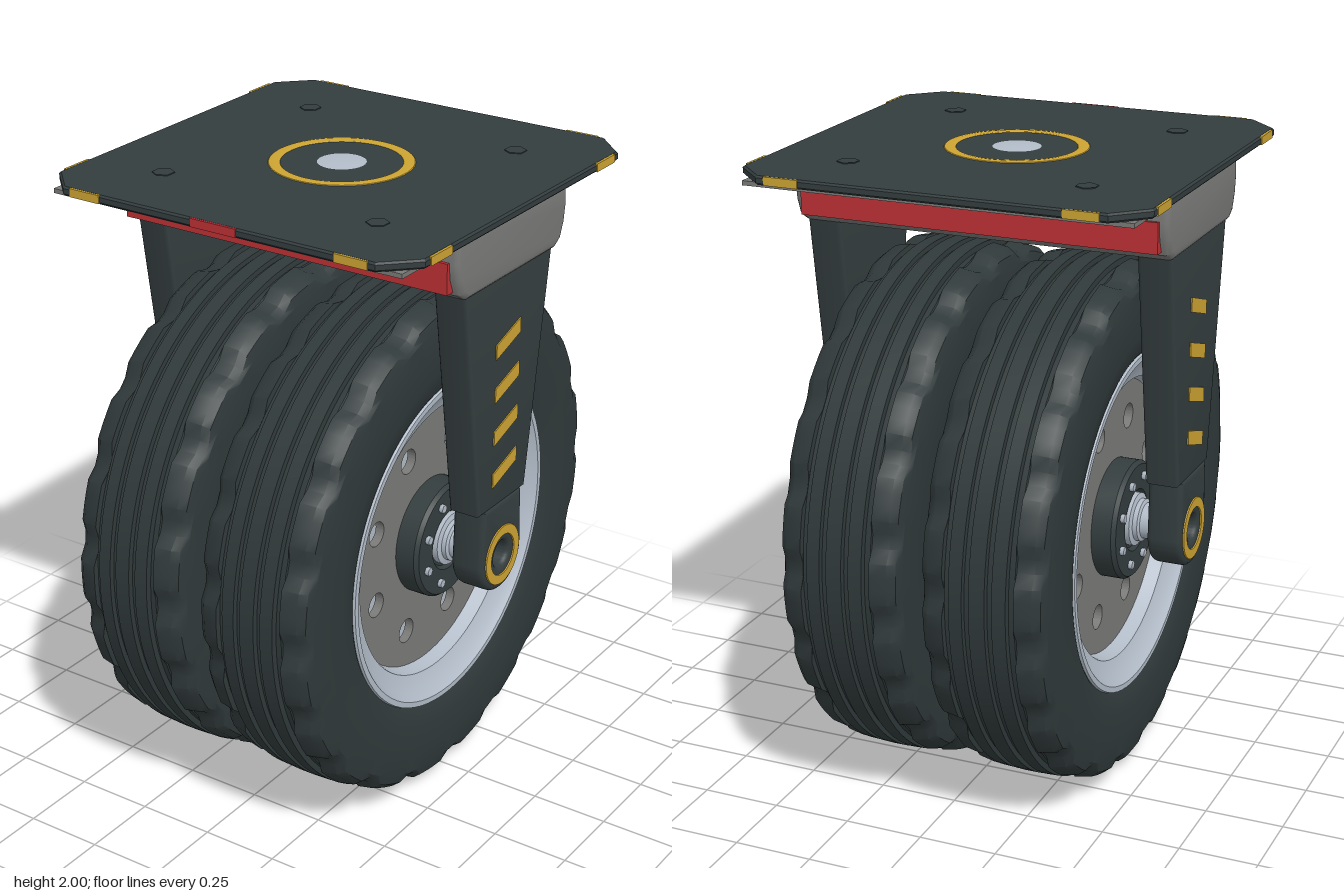
import * as THREE from 'three';
import { toCreasedNormals } from 'three/addons/utils/BufferGeometryUtils.js';

const material = (name, color, side = THREE.FrontSide) => {
  const m = new THREE.MeshStandardMaterial({ color, side });
  m.name = name;
  return m;
};
const rubber = material('rubber', 0x30393a);
const dark = material('dark metal', 0x343d3e);
const grey = material('grey metal', 0x7a7a79);
const silver = material('silver', 0xb2bcc8, THREE.DoubleSide);
const gold = material('gold', 0xcda432);
const red = material('red', 0xbc3034);

function add(parent, name, geometry, mat, x = 0, y = 0, z = 0) {
  const mesh = new THREE.Mesh(geometry, mat);
  mesh.name = name;
  mesh.position.set(x, y, z);
  parent.add(mesh);
  return mesh;
}

// Lathe around y from [radius, height] pairs
function turned(points, segments = 64) {
  const g = new THREE.LatheGeometry(points.map(p => new THREE.Vector2(...p)), segments);
  return toCreasedNormals(g, 0.5);
}
// Same, but around the x axis
const turnedX = (points, segments) => turned(points, segments).rotateZ(-Math.PI / 2);
const ringProfile = (inner, outer, a, b) =>
  [[inner, a], [outer, a], [outer, b], [inner, b], [inner, a]];

const polygon = points => new THREE.Shape(points.map(p => new THREE.Vector2(...p)));
const circleHole = (x, y, r) => new THREE.Path().absarc(x, y, r, 0, Math.PI * 2, true);

// Extrude a (-z, y) outline along x, between x0 and x1, bevel included
function sidePlate(shape, x0, x1, bevel = 0) {
  const g = new THREE.ExtrudeGeometry(shape, {
    depth: x1 - x0 - 2 * bevel, bevelEnabled: bevel > 0, bevelSize: bevel,
    bevelThickness: bevel, bevelOffset: -bevel, bevelSegments: 3, curveSegments: 24
  });
  return toCreasedNormals(g.translate(0, 0, x0 + bevel).rotateY(Math.PI / 2), 0.6);
}

// Tyre with circumferential grooves and notched shoulder blocks
function tyreGeometry() {
  const right = [[0.833, 0.025], [0.817, 0.027], [0.817, 0.045], [0.832, 0.047],
    [0.830, 0.09], [0.812, 0.092], [0.812, 0.11], [0.828, 0.113], [0.818, 0.165], [0.80, 0.187],
    [0.77, 0.195], [0.70, 0.2], [0.62, 0.197], [0.56, 0.188], [0.54, 0.175]];
  const left = right.map(([r, h]) => [r, -h]).reverse();
  const profile = [...left, ...right];
  const g = new THREE.LatheGeometry(profile.map(p => new THREE.Vector2(...p)), 120);
  const pos = g.attributes.position;
  for (let i = 0; i < pos.count; i++) {
    const step = Math.floor(i / profile.length), h = pos.getY(i);
    const r = Math.hypot(pos.getX(i), pos.getZ(i));
    const notch = (step + (h > 0 ? 0 : 3)) % 6 < 2;
    if (notch && Math.abs(h) > 0.112 && r > 0.79) {
      pos.setX(i, pos.getX(i) * 0.976);
      pos.setZ(i, pos.getZ(i) * 0.976);
    }
  }
  return toCreasedNormals(g, 0.5).rotateZ(-Math.PI / 2);
}

function makeWheel() {
  const wheel = new THREE.Group();
  wheel.name = 'wheel';
  add(wheel, 'tyre', tyreGeometry(), rubber);

  // Disc pierced by eight round holes, backed by a silver plate
  const disc = new THREE.Shape().absarc(0, 0, 0.45, 0, Math.PI * 2);
  disc.holes.push(circleHole(0, 0, 0.1));
  const angles = Array.from({ length: 8 }, (_, i) => (i + 0.5) * Math.PI / 4);
  for (const a of angles) disc.holes.push(circleHole(0.322 * Math.cos(a), 0.322 * Math.sin(a), 0.04));
  add(wheel, 'discBacking', turnedX(ringProfile(0.1, 0.44, -0.05, 0.05)), silver);

  for (const s of [1, -1]) {
    const face = new THREE.Group();
    face.name = 'wheelFace';
    face.rotation.y = s > 0 ? 0 : Math.PI;
    wheel.add(face);
    add(face, 'disc', sidePlate(disc, 0.07, 0.1), grey);
    add(face, 'rim', turnedX([[0.555, 0.17], [0.548, 0.19], [0.53, 0.19], [0.505, 0.165],
      [0.455, 0.145], [0.44, 0.095]], 80), silver);
    add(face, 'hub', turnedX([[0.19, 0.09], [0.19, 0.165], [0.18, 0.178], [0.1, 0.178],
      [0.09, 0.165], [0.055, 0.165]]), dark);
    for (const a of angles) {
      const bolt = new THREE.CylinderGeometry(0.014, 0.014, 0.014, 6).rotateZ(Math.PI / 2);
      add(face, 'hubBolt', bolt, silver, 0.184, 0.142 * Math.sin(a), 0.142 * Math.cos(a));
    }
  }
  return wheel;
}

// Fork leg on the +x side; slant sets which way its stripes rise
function makeLeg(slant) {
  const leg = new THREE.Group();
  leg.name = 'forkLeg';
  const blade = polygon([[-0.135, 1.02], [0.135, 1.02], [0.25, 1.785], [-0.25, 1.785]]);
  add(leg, 'legBlade', sidePlate(blade, 0.485, 0.593, 0.012), dark);

  const eye = new THREE.Shape();
  eye.moveTo(0.112, 1.03);
  eye.lineTo(-0.112, 1.03);
  eye.lineTo(-0.12, 0.84);
  eye.absarc(0, 0.84, 0.12, Math.PI, Math.PI * 2, false);
  eye.holes.push(circleHole(0, 0.84, 0.04));
  add(leg, 'axleEye', sidePlate(eye, 0.485, 0.597, 0.018), dark);
  add(leg, 'eyeRing', turnedX([[0.1, 0.594], [0.098, 0.601], [0.068, 0.601], [0.066, 0.594]], 48),
    gold, 0, 0.84);

  for (let i = 0; i < 4; i++) {
    const y = 1.562 - 0.141 * i, d = 0.022 * slant;
    const stripe = polygon([[-0.068, y - d - 0.023], [0.068, y + d - 0.023],
      [0.068, y + d + 0.023], [-0.068, y - d + 0.023]]);
    add(leg, 'warningStripe', sidePlate(stripe, 0.59, 0.597), gold);
  }
  return leg;
}

function makeMount() {
  const mount = new THREE.Group();
  mount.name = 'mount';

  // Crossbar housing with red panels front and back
  const section = polygon([[-0.25, 1.768], [0.25, 1.768], [0.285, 1.79], [0.305, 1.84], [0.312, 1.89],
    [0.305, 1.965], [-0.305, 1.965], [-0.312, 1.89], [-0.305, 1.84], [-0.285, 1.79]]);
  add(mount, 'housing', sidePlate(section, -0.603, 0.603, 0.018), grey);
  for (const s of [1, -1])
    add(mount, 'redPanel', new THREE.BoxGeometry(1.15, 0.095, 0.05), red, 0, 1.848, s * 0.297);

  // Frame under the top plate
  for (const s of [1, -1]) {
    add(mount, 'frameRail', new THREE.BoxGeometry(1.22, 0.014, 0.04), grey, 0, 1.961, s * 0.59);
    add(mount, 'frameRail', new THREE.BoxGeometry(0.04, 0.014, 1.14), grey, s * 0.59, 1.961, 0);
    for (const t of [1, -1]) {
      add(mount, 'frameBolt', new THREE.CylinderGeometry(0.016, 0.016, 0.02, 6), silver,
        s * 0.535, 1.955, t * 0.535);
      add(mount, 'plateBolt', new THREE.CylinderGeometry(0.034, 0.034, 0.008, 6), dark,
        s * 0.38, 1.995, t * 0.38);
    }
  }

  // Top plate with cut corners
  const a = 0.643, b = 0.545;
  const outline = polygon([[a, -b], [a, b], [b, a], [-b, a], [-a, b], [-a, -b], [-b, -a], [b, -a]]);
  const plate = new THREE.ExtrudeGeometry(outline, { depth: 0.016, bevelSize: 0.006,
    bevelThickness: 0.006, bevelOffset: -0.006, bevelSegments: 1 });
  add(mount, 'topPlate', plate.rotateX(-Math.PI / 2), dark, 0, 1.974);

  // Edge markings on all four sides
  for (let side = 0; side < 4; side++) {
    const edge = new THREE.Group();
    edge.name = 'edgeMarkings';
    edge.rotation.y = side * Math.PI / 2;
    mount.add(edge);
    for (const s of [1, -1])
      add(edge, 'goldMark', new THREE.BoxGeometry(0.11, 0.026, 0.008), gold, s * 0.465, 1.983, 0.642);
    if (side === 0)
      add(edge, 'redMark', new THREE.BoxGeometry(0.16, 0.026, 0.008), red, 0, 1.983, 0.642);
  }

  // Swivel centre
  add(mount, 'swivelRing', turned([[0.226, 1.992], [0.22, 1.998], [0.204, 2], [0.188, 1.998],
    [0.181, 1.992]]), gold);
  add(mount, 'swivelPin', turned([[0.083, 1.99], [0.075, 1.996], [0.04, 1.999], [0, 2]], 32), silver);
  return mount;
}

export function createModel() {
  const model = new THREE.Group();
  model.name = 'twinWheelCaster';
  for (const s of [1, -1]) {
    const wheel = makeWheel();
    wheel.position.set(s * 0.23, 0.836, 0);
    model.add(wheel);
    const leg = makeLeg(s);
    leg.rotation.y = s > 0 ? 0 : Math.PI;
    model.add(leg);
    // Stepped sleeve between hub and fork
    add(model, 'axleSleeve', turnedX([[0.055, 0.395], [0.085, 0.395], [0.085, 0.415], [0.068, 0.42],
      [0.068, 0.435], [0.057, 0.44], [0.057, 0.5]], 32), silver, 0, 0.84)
      .rotation.y = s > 0 ? 0 : Math.PI;
  }
  // Hollow axle and the spacer between the wheels
  add(model, 'axle', turnedX(ringProfile(0.05, 0.056, -0.594, 0.594), 32), silver, 0, 0.84);
  add(model, 'hubSpacer', turnedX(ringProfile(0.056, 0.15, -0.06, 0.06), 48), grey, 0, 0.84);
  model.add(makeMount());
  return model;
}
